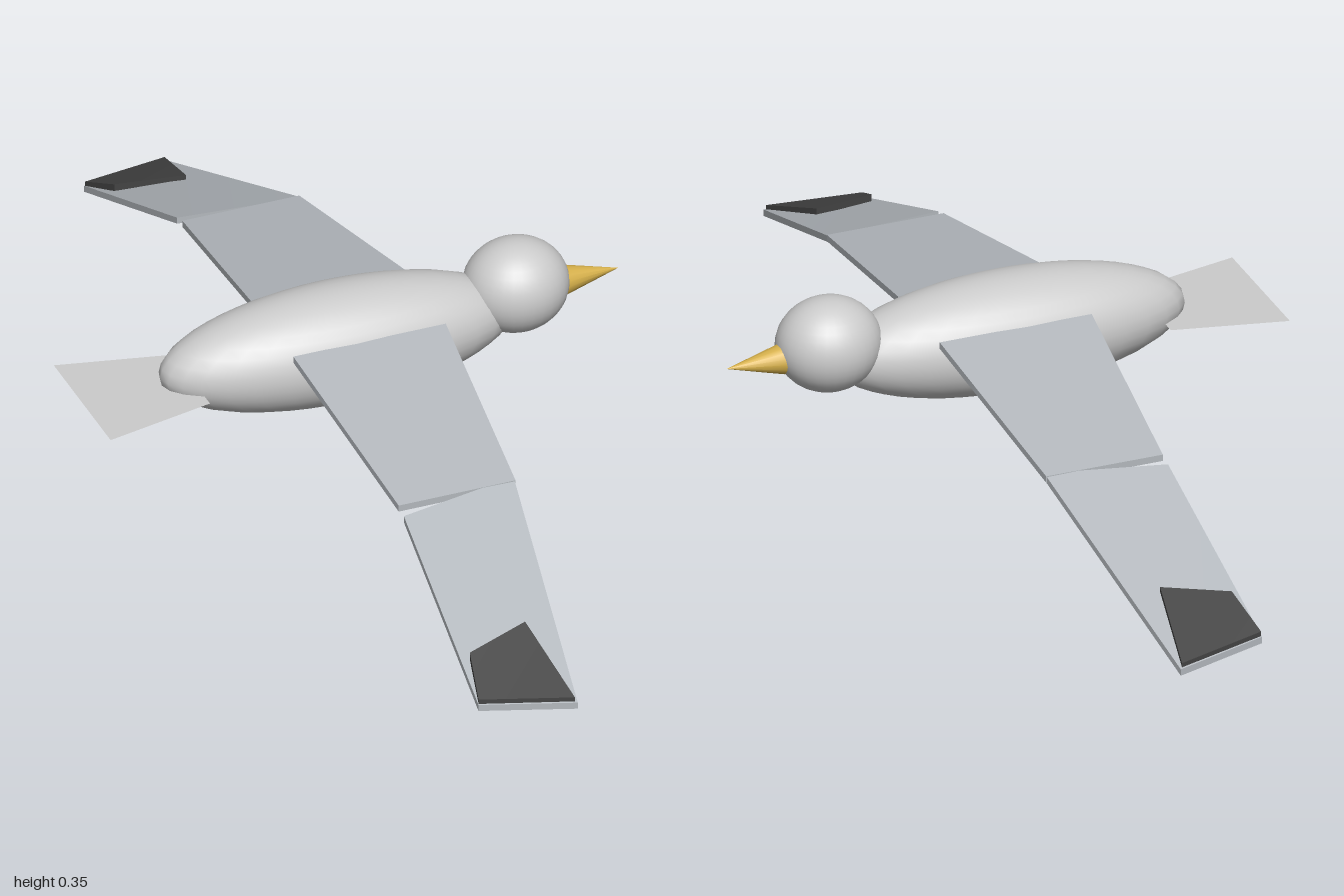
import * as THREE from 'three';

const material = (color, side = THREE.FrontSide) =>
  new THREE.MeshStandardMaterial({ color, side });

// Ellipsoid from a unit sphere
function ellipsoid(name, radii, position, mat) {
  const mesh = new THREE.Mesh(new THREE.SphereGeometry(1, 32, 20).scale(...radii), mat);
  mesh.name = name;
  mesh.position.set(...position);
  return mesh;
}

// Four-cornered slab. Corners are [x, top y, z]; side is +1 or -1 along z.
function slab(name, corners, thickness, side, mat) {
  const geometry = new THREE.BoxGeometry(2, 2, 2);
  const p = geometry.attributes.position;
  for (let i = 0; i < p.count; i++) {
    const edge = corners[p.getZ(i) * side > 0 ? 'outer' : 'inner'];
    const [x, y, z] = edge[p.getX(i) > 0 ? 1 : 0];
    p.setXYZ(i, x, p.getY(i) > 0 ? y : y - thickness, z * side);
  }
  geometry.computeVertexNormals();
  const mesh = new THREE.Mesh(geometry, mat);
  mesh.name = name;
  return mesh;
}

export function createModel() {
  const model = new THREE.Group();
  model.name = 'bird';

  const grey = material(0xcccccc);
  const wingGrey = material(0xb4b9be);
  const dark = material(0x444444);
  const yellow = material(0xd6b04a);

  // Body and head
  model.add(ellipsoid('body', [0.347, 0.112, 0.117], [-0.03, 0.225, 0], grey));
  model.add(ellipsoid('head', [0.1, 0.09, 0.09], [0.323, 0.265, 0], grey));

  // Beak pointing along +x
  const beak = new THREE.Mesh(new THREE.ConeGeometry(0.029, 0.11, 16), yellow);
  beak.name = 'beak';
  beak.rotation.z = -Math.PI / 2;
  beak.position.set(0.47, 0.251, 0);
  model.add(beak);

  // Paper-thin fan tail, drawn in the horizontal plane
  const tailShape = new THREE.Shape([
    [-0.315, -0.09], [-0.315, 0.09], [-0.53, 0.138], [-0.53, -0.138],
  ].map(([x, z]) => new THREE.Vector2(x, z)));
  const tail = new THREE.Mesh(
    new THREE.ShapeGeometry(tailShape).rotateX(-Math.PI / 2),
    material(0xcccccc, THREE.DoubleSide));
  tail.name = 'tail';
  tail.position.y = 0.21;
  model.add(tail);

  // Wings: each edge lists its rear corner, then its front corner
  const innerPanel = {
    inner: [[-0.155, 0.279, 0.1], [0.145, 0.279, 0.1]],
    outer: [[-0.12, 0.198, 0.525], [0.11, 0.198, 0.525]],
  };
  const outerPanel = {
    inner: [[-0.12, 0.19, 0.55], [0.11, 0.2, 0.515]],
    outer: [[-0.138, 0.025, 0.957], [0.04, 0.013, 1]],
  };
  const tipPatch = {
    inner: [[-0.117, 0.078, 0.863], [0.008, 0.092, 0.823]],
    outer: [[-0.137, 0.035, 0.955], [0.036, 0.023, 0.996]],
  };
  for (const side of [1, -1]) {
    const wing = new THREE.Group();
    wing.name = side > 0 ? 'wingFront' : 'wingBack';
    wing.add(
      slab('innerWing', innerPanel, 0.013, side, wingGrey),
      slab('outerWing', outerPanel, 0.013, side, wingGrey),
      slab('wingTip', tipPatch, 0.014, side, dark));
    model.add(wing);
  }

  return model;
}
